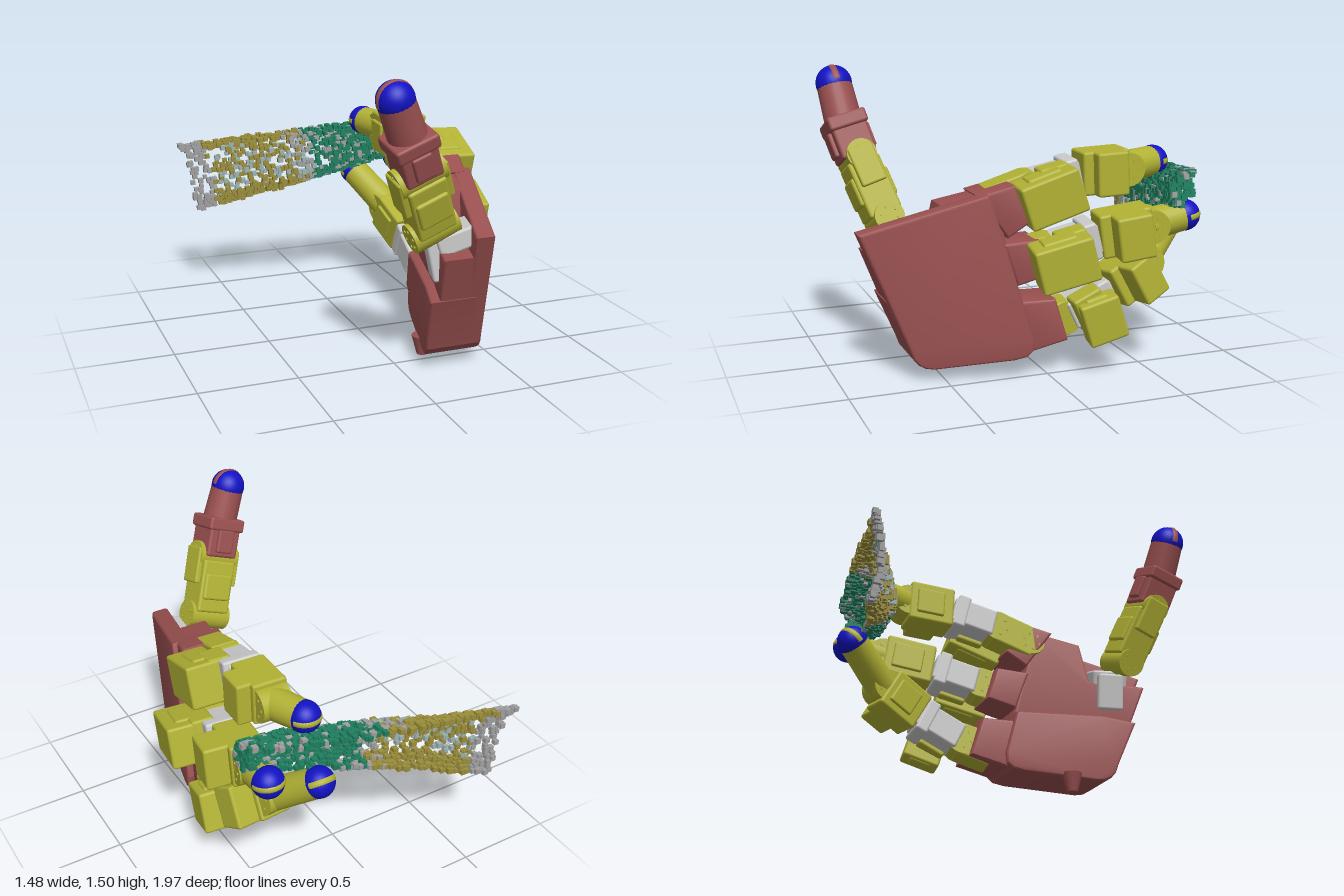
import * as THREE from 'three';
import { mergeGeometries, toCreasedNormals } from 'three/addons/utils/BufferGeometryUtils.js';
import { RoundedBoxGeometry } from 'three/addons/geometries/RoundedBoxGeometry.js';

const mat = c => new THREE.MeshStandardMaterial({ color: c });
const RED = mat(0x9a5050), YELLOW = mat(0xb2b235), BLUE = mat(0x1212c4), GREY = mat(0xcccccc);
const V = (x, y, z) => new THREE.Vector3(x, y, z);

export function createModel() {
  const model = new THREE.Group();
  model.name = 'robotHand';

  function add(parent, name, geo, material, pos = [0, 0, 0], rot = [0, 0, 0]) {
    const m = new THREE.Mesh(geo, material);
    m.name = name;
    m.position.set(...pos);
    m.rotation.set(...rot);
    parent.add(m);
  }
  const box = (w, h, d, r = 0.014) => new RoundedBoxGeometry(w, h, d, 2, r);

  // Group at the middle of a-b, its z axis along the bone, its x axis near the hint
  function bone(name, a, b, hint = V(1, 0, 0)) {
    const g = new THREE.Group();
    g.name = name;
    const z = b.clone().sub(a).normalize();
    const y = z.clone().cross(hint).normalize();
    const x = y.clone().cross(z);
    g.quaternion.setFromRotationMatrix(new THREE.Matrix4().makeBasis(x, y, z));
    g.position.copy(a).lerp(b, 0.5);
    g.userData.len = a.distanceTo(b);
    model.add(g);
    return g;
  }

  // Palm slabs: side outline in (z, y), thickness towards -x, skewed to the slanted back plane
  function slab(name, outline, inset, depth) {
    const shape = new THREE.Shape(outline.map(p => new THREE.Vector2(...p)));
    const bev = 0.016;
    const g = new THREE.ExtrudeGeometry(shape, {
      depth: depth - 2 * bev, bevelSize: bev, bevelThickness: bev, bevelOffset: -bev, bevelSegments: 3,
    });
    const p = g.attributes.position;
    for (let i = 0; i < p.count; i++) {
      const z = p.getX(i), y = p.getY(i), t = p.getZ(i) + bev + inset;
      p.setXYZ(i, 0.34 - 0.26 * (z - 0.9) - t, y, z);
    }
    add(model, name, toCreasedNormals(g, 0.35), RED);
  }
  const bottom = [[0.67, 0.16], [0.655, 0.115], [0.63, 0.085], [0.6, 0.068], [0.56, 0.062],
    [0.18, 0.095], [0.12, 0.11], [0.09, 0.14], [0.085, 0.2]];
  slab('palmBack', [[0.9, 0.74], ...bottom, [0.28, 0.88], [0.3, 0.92]], 0, 0.1);
  slab('palmBody', [[0.77, 0.4], ...bottom, [0.14, 0.43], [0.6, 0.43]], 0.05, 0.25);
  slab('palmUpper', [[0.85, 0.63], [0.76, 0.39], [0.13, 0.38], [0.26, 0.92], [0.5, 0.86], [0.55, 0.65]], 0.05, 0.2);
  slab('indexSocket', [[0.34, 0.91], [0.17, 0.96], [0.09, 0.78], [0.2, 0.7]], 0.03, 0.25);
  slab('middleSocket', [[0.22, 0.67], [0.05, 0.69], [0.0, 0.51], [0.15, 0.46]], 0.04, 0.22);
  slab('ringSocket', [[0.16, 0.38], [-0.03, 0.39], [-0.09, 0.18], [0.1, 0.12]], 0.04, 0.24);
  add(model, 'palmPeg', new THREE.CylinderGeometry(0.055, 0.028, 0.1, 20), RED, [0.185, 0.05, 0.43]);

  // Hinge: discs on both sides of a joint
  function hinge(name, g, z, width, r, material) {
    add(g, name, new THREE.CylinderGeometry(r, r, width, 24), material, [0, 0, z], [0, 0, Math.PI / 2]);
    for (const s of [-1, 1])
      for (let k = 0; k < 6; k++) {
        const a = k * Math.PI / 3;
        add(g, 'screw', new THREE.CylinderGeometry(0.008, 0.008, 0.01, 8), material,
          [s * width / 2, Math.sin(a) * r * 0.6, z + Math.cos(a) * r * 0.6], [0, 0, Math.PI / 2]);
      }
  }

  // Round fingertip with a strap over it
  function fingertip(name, a, b, r, material, hint) {
    const g = bone(name, a, b, hint), L = g.userData.len;
    add(g, 'tipLink', new THREE.CylinderGeometry(r * 0.97, r * 1.05, L, 24), material, [0, 0, 0], [Math.PI / 2, 0, 0]);
    add(g, 'tipBall', new THREE.SphereGeometry(r, 32, 20), BLUE, [0, 0, L / 2]);
    const strap = new THREE.TorusGeometry(r * 0.72, r * 0.32, 12, 24, Math.PI);
    add(g, 'tipStrap', strap, material, [0, 0, L / 2], [Math.PI / 2, 0, 0]);
  }

  // Fingers: joint points from knuckle to tip
  // motor: width, length, shift along the link, lift; second: width of the next motor
  const fingers = [
    { name: 'index', motor: [0.2, 0.3, 0.16, 0.03], second: 0.1, pts: [[0.3, 0.84, 0.26], [0.32, 0.92, 0.02], [0.34, 0.975, -0.22], [0.35, 0.985, -0.47], [0.285, 1.0, -0.665]] },
    { name: 'middle', motor: [0.2, 0.29, 0.15, 0.02], second: 0.15, pts: [[0.4, 0.56, 0.2], [0.44, 0.62, -0.03], [0.47, 0.68, -0.27], [0.51, 0.72, -0.54], [0.52, 0.755, -0.73]] },
    { name: 'ring', motor: [0.13, 0.2, 0.24, 0.03], second: 0.15, pts: [[0.4, 0.22, 0.06], [0.43, 0.28, -0.13], [0.44, 0.39, -0.36], [0.4, 0.5, -0.56], [0.27, 0.68, -0.775]] },
  ];
  for (const f of fingers) {
    const p = f.pts.map(q => V(...q));
    const [mw, ml, mz, my] = f.motor;
    // Knuckle link with its motor
    let g = bone(f.name + 'Knuckle', p[0], p[1]), L = g.userData.len;
    add(g, 'knuckleShell', box(0.14, 0.18, L * 0.95), YELLOW);
    hinge('knuckleHinge', g, -L / 2 + 0.03, 0.14, 0.075, YELLOW);
    hinge('knuckleJoint', g, L / 2 - 0.02, 0.14, 0.085, YELLOW);
    add(g, 'knuckleMotor', box(mw, 0.22, ml), YELLOW, [0.08 + mw / 2, my, mz]);
    add(g, 'motorCap', box(mw * 0.6, 0.24, ml * 0.6), YELLOW, [0.08 + mw * 0.4, my, mz]);
    // Grey bracket
    g = bone(f.name + 'Bracket', p[1], p[2]); L = g.userData.len;
    add(g, 'bracketArm', box(0.17, 0.15, L * 0.98), GREY);
    add(g, 'bracketPlate', box(0.2, 0.19, 0.07), GREY, [0.01, 0, L * 0.3]);
    add(g, 'bracketMotor', box(0.12, 0.2, L * 0.6), YELLOW, [0.1, 0, -L * 0.12]);
    // Second motor link
    g = bone(f.name + 'Middle', p[2], p[3]); L = g.userData.len;
    add(g, 'middleShell', box(0.18, 0.22, L * 0.98), YELLOW);
    add(g, 'middleMotor', box(f.second, 0.22, L * 0.65), YELLOW, [0.06 + f.second / 2, 0, 0.01]);
    add(g, 'sidePanel', box(0.21, 0.14, L * 0.6, 0.01), YELLOW, [0, 0, 0.01]);
    hinge('middleHinge', g, L / 2, 0.16, 0.085, YELLOW);
    fingertip(f.name + 'Tip', p[3], p[4], 0.08, YELLOW);
  }

  // Thumb: grey mount, yellow motor link, red end link
  const side = V(0.93, 0.37, 0);
  const t0 = V(0.105, 0.74, 0.705), t1 = V(-0.025, 1.06, 0.815), t2 = V(-0.08, 1.2, 0.855), t3 = V(-0.165, 1.41, 0.885);
  add(model, 'thumbMount', box(0.2, 0.1, 0.19), GREY, [0.235, 0.69, 0.68], [0, -0.25, 0.35]);
  add(model, 'thumbMountFoot', box(0.06, 0.2, 0.14), GREY, [0.14, 0.58, 0.65], [0, -0.25, 0.2]);
  let g = bone('thumbBase', t0, t1, side), L = g.userData.len;
  add(g, 'thumbShell', box(0.2, 0.17, L * 0.8), YELLOW);
  add(g, 'thumbMotor', box(0.17, 0.2, L * 0.4), YELLOW);
  for (const s of [-1, 1]) {
    add(g, 'thumbSideArm', box(0.035, 0.13, L * 0.55, 0.01), YELLOW, [s * 0.115, 0, L * 0.3]);
    hinge('thumbHinge', g, s * L * 0.46, 0.24, 0.075, YELLOW);
  }
  g = bone('thumbMiddle', t1, t2, side); L = g.userData.len;
  add(g, 'thumbBlock', box(0.19, 0.18, L * 1.4), RED, [0, 0, 0.02]);
  add(g, 'thumbCollar', box(0.22, 0.2, 0.07), RED, [0, 0, L * 0.6]);
  add(g, 'thumbRib', box(0.1, 0.22, L * 0.8, 0.01), RED);
  fingertip('thumbTip', t2, t3, 0.09, RED, side);

  // Scanned shell: small cubes scattered over a tapering sheet that curls back at the top
  let seed = 7;
  const rnd = () => (seed = (seed * 16807) % 2147483647) / 2147483647;
  const lerpTable = (t, x) => {
    let i = 1;
    while (i < t.length - 1 && x > t[i][0]) i++;
    const [a, b] = [t[i - 1], t[i]];
    return a[1] + (b[1] - a[1]) * (x - a[0]) / (b[0] - a[0]);
  };
  const low = [[-0.63, 0.485], [0, 0.66], [0.61, 0.83]], high = [[-0.72, 0.86], [0, 0.92], [0.61, 0.98]];
  const front = [[-0.72, -0.94], [-0.1, -0.67], [0.4, -0.58], [0.61, -0.61]];
  const back = [[-0.72, -0.975], [0, -0.88], [0.5, -0.79], [0.61, -0.71]];
  const colors = { Grey: 0xa0a0a0, Yellow: 0x9c8f3c, Green: 0x1f8060, Pale: 0x9fb3b5 };
  const cubes = { Grey: [], Yellow: [], Green: [], Pale: [] };
  function cube(key, x, y, z) {
    const s = 0.021 + 0.008 * rnd();
    const c = new THREE.BoxGeometry(s, s, s);
    c.rotateZ(0.1);
    c.translate(x, y, z);
    cubes[key].push(c);
  }
  const cols = 70, rows = 20;
  for (let i = 0; i <= cols; i++)
    for (let j = 0; j <= rows; j++) {
      const u = i / cols, v = j / rows;
      const hole = u < 0.6 && v > 0.15 && v < 0.85;
      if (rnd() < (hole ? 0.45 : 0.15)) continue;
      const x = -0.72 + 1.33 * u + 0.1 * (1 - v) * (1 - u) + (rnd() - 0.5) * 0.025;
      const a = -1.05 + 2.6 * v, y0 = lerpTable(low, x), y1 = lerpTable(high, x);
      const y = y0 + (y1 - y0) * (Math.sin(a) + 0.87) / 1.87 + (rnd() - 0.5) * 0.015;
      const zb = lerpTable(back, x);
      const z = zb + (lerpTable(front, x) - zb) * Math.cos(a) - 0.02 * (1 - v) * (1 - u) + (rnd() - 0.5) * 0.015;
      const key = u < 0.08 ? 'Grey' : u > 0.5 ? (rnd() < 0.8 ? 'Green' : 'Grey')
        : hole && rnd() < 0.3 ? 'Pale' : u > 0.42 && rnd() < 0.5 ? 'Grey' : 'Yellow';
      cube(key, x, y, z);
    }
  // Closed end of the shell
  for (let k = 0; k < 40; k++) {
    const r = Math.sqrt(rnd()) * 0.065, a = rnd() * 2 * Math.PI;
    cube('Green', 0.6 + rnd() * 0.015, 0.905 + r * Math.sin(a), -0.67 + r * Math.cos(a));
  }
  for (const key in cubes) add(model, 'shellCubes' + key, mergeGeometries(cubes[key]), mat(colors[key]));

  return model;
}
